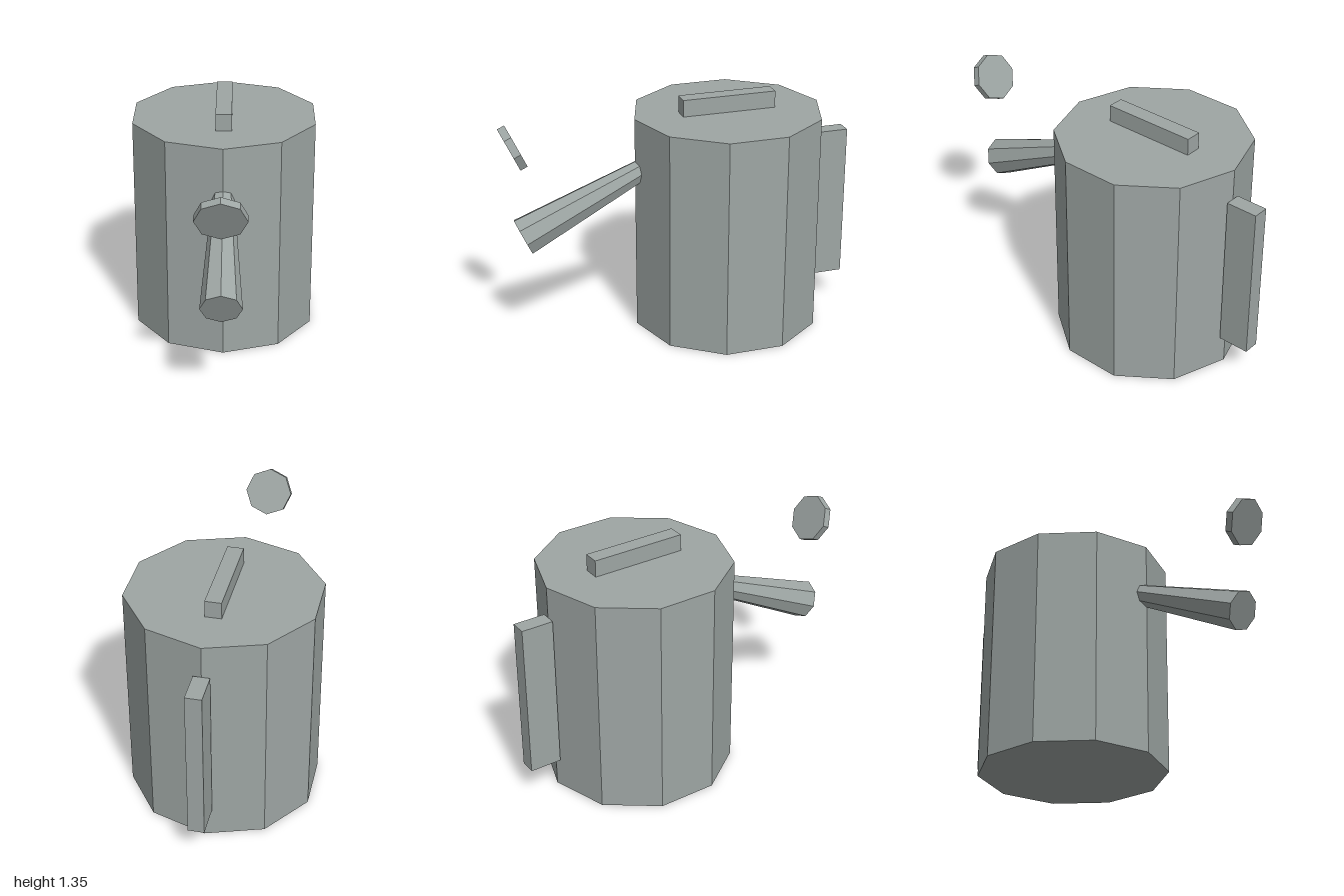
import * as THREE from 'three';

export function createModel() {
  const group = new THREE.Group();
  const tin = new THREE.MeshStandardMaterial({ color: 0x9ea6a4, flatShading: true });
  tin.name = 'grey tin';

  const TILT = THREE.MathUtils.degToRad(24.9); // downward pitch of spout and rose
  const axis = new THREE.Vector3(0, -Math.sin(TILT), Math.cos(TILT));

  const add = (name, geometry, x, y, z) => {
    const mesh = new THREE.Mesh(geometry, tin);
    mesh.name = name;
    mesh.position.set(x, y, z);
    group.add(mesh);
    return mesh;
  };

  // Ten-sided can
  add('body', new THREE.CylinderGeometry(0.535, 0.535, 1.25, 10), 0, 0.625, -0.287);

  // Bar handles on the lid and at the back
  add('topHandle', new THREE.BoxGeometry(0.09, 0.095, 0.535), 0, 1.2975, -0.285);
  add('backHandle', new THREE.BoxGeometry(0.09, 0.89, 0.18), 0, 0.625, -0.91);

  // Flared spout, its narrow end buried in the body
  const length = 0.82;
  const mouth = new THREE.Vector3(0, 0.639, 0.889);
  const centre = mouth.clone().addScaledVector(axis, -length / 2);
  const spout = add('spout', new THREE.CylinderGeometry(0.111, 0.056, length, 8), 0, centre.y, centre.z);
  spout.rotation.x = Math.PI / 2 + TILT;

  // Detached rose disc above the spout
  const rose = add('rose', new THREE.CylinderGeometry(0.135, 0.135, 0.043, 8), 0, 1.164, 0.924);
  rose.rotation.x = Math.PI / 2 + TILT;

  return group;
}
